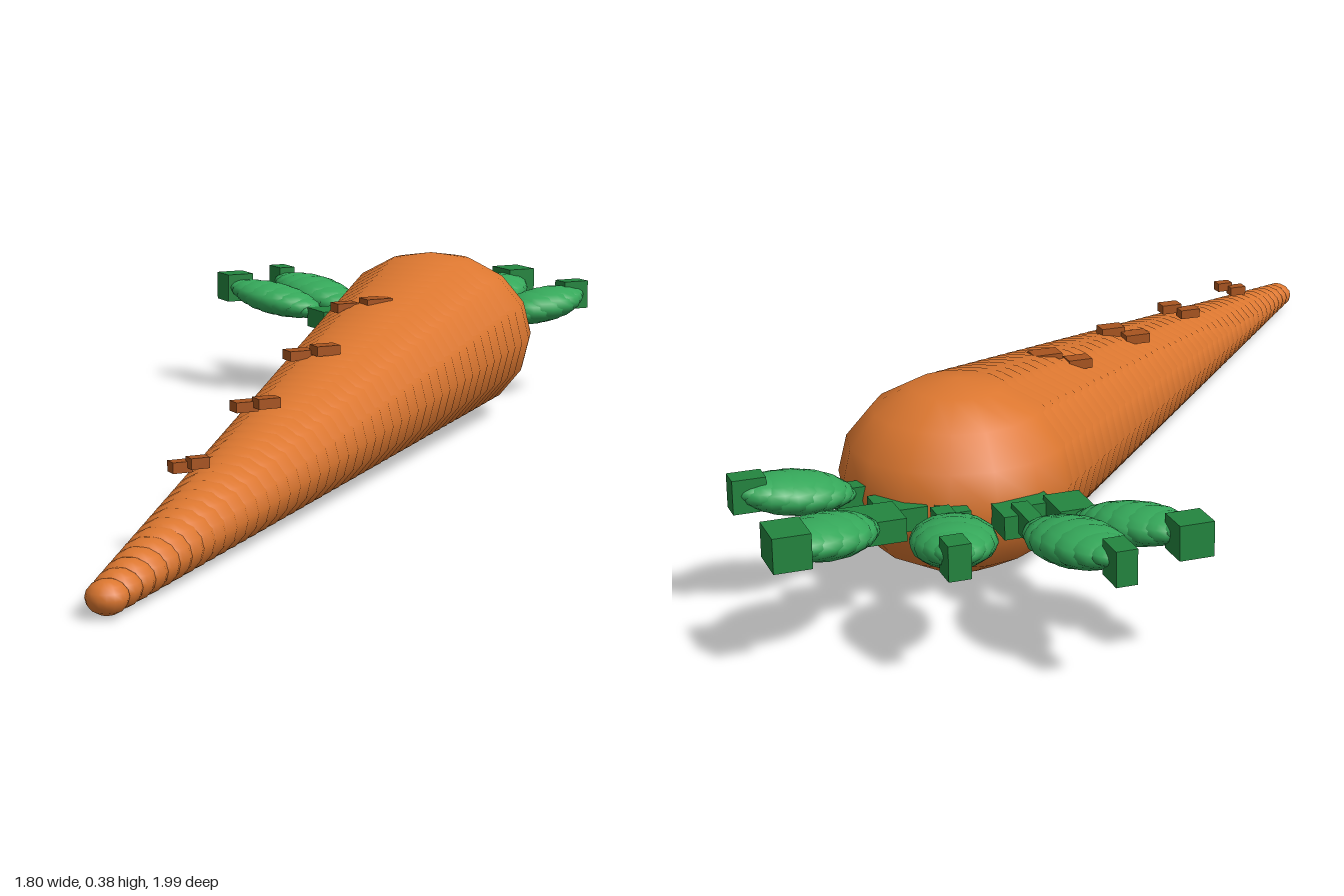
import * as THREE from 'three';

const mat = (color) => new THREE.MeshStandardMaterial({ color });
const V = (x, y, z) => new THREE.Vector3(x, y, z);

export function createModel() {
  const group = new THREE.Group();
  group.name = 'carrot';
  const orange = mat(0xdc7730), brown = mat(0xa8541f);
  const green = mat(0x35a85a), darkGreen = mat(0x23853f);
  const ball = new THREE.SphereGeometry(1, 16, 8);
  const cube = new THREE.BoxGeometry(1, 1, 1);

  const add = (parent, name, geometry, material, pos, size) => {
    const mesh = new THREE.Mesh(geometry, material);
    mesh.name = name;
    mesh.position.copy(pos);
    mesh.scale.copy(size);
    parent.add(mesh);
  };

  // Root: a row of flattened balls growing from the tip to the crown
  const root = new THREE.Group();
  root.name = 'root';
  group.add(root);
  const tip = V(-0.865, 0.039, 0.955), crown = V(0.43, 0.195, -0.325);
  const rings = 44;
  for (let i = 0; i < rings; i++) {
    const t = i / (rings - 1);
    const r = THREE.MathUtils.lerp(0.037, 0.233, t);
    add(root, 'rootRing', ball, orange, tip.clone().lerp(crown, t), V(r, r * 0.815, r));
  }

  // Skin marks: pairs of small blocks along the top [x, y, z, width]
  const marks = new THREE.Group();
  marks.name = 'skinMarks';
  group.add(marks);
  [
    [0.10, 0.308, -0.11, 0.05], [0.16, 0.318, -0.08, 0.06],
    [-0.13, 0.259, 0.14, 0.055], [-0.085, 0.27, 0.17, 0.052],
    [-0.365, 0.215, 0.39, 0.046], [-0.33, 0.223, 0.415, 0.046],
    [-0.605, 0.17, 0.645, 0.038], [-0.578, 0.178, 0.662, 0.036],
  ].forEach(([x, y, z, w]) => add(marks, 'skinMark', cube, brown, V(x, y, z), V(w, 0.02, w * 0.7)));

  // Leaves: start and end of each blade, half width, its tip block and stem blocks
  const leaves = [
    { a: [0.305, -0.66], b: [0.193, -0.895], w: 0.07, tip: [0.197, -0.903, 0.066, 0.066],
      stems: [[0.312, -0.615, 0.07, 0.09], [0.36, -0.54, 0.06, 0.09]] },
    { a: [0.40, -0.67], b: [0.355, -0.965], w: 0.077, tip: [0.355, -0.968, 0.04, 0.064],
      stems: [[0.40, -0.64, 0.032, 0.11], [0.41, -0.57, 0.065, 0.11]] },
    { a: [0.54, -0.62], b: [0.61, -0.845], w: 0.08, tip: [0.61, -0.848, 0.042, 0.05],
      stems: [[0.542, -0.595, 0.036, 0.09], [0.515, -0.53, 0.055, 0.08]] },
    { a: [0.68, -0.555], b: [0.875, -0.705], w: 0.075, tip: [0.865, -0.688, 0.07, 0.085],
      stems: [[0.668, -0.54, 0.105, 0.09], [0.6, -0.475, 0.09, 0.09]] },
    { a: [0.67, -0.39], b: [0.88, -0.418], w: 0.075, tip: [0.868, -0.418, 0.064, 0.045],
      stems: [[0.665, -0.388, 0.06, 0.036], [0.60, -0.375, 0.09, 0.05]] },
  ];
  leaves.forEach(({ a, b, w, tip: end, stems }) => {
    const leaf = new THREE.Group();
    leaf.name = 'leaf';
    group.add(leaf);
    const from = V(a[0], 0.205, a[1]), to = V(b[0], 0.256, b[1]);
    const n = 10;
    for (let i = 0; i < n; i++) {
      const t = i / (n - 1);
      const r = 0.018 + (w - 0.018) * Math.sin(Math.PI * t);
      add(leaf, 'leafBlade', ball, green, from.clone().lerp(to, t), V(r, r * 0.5, r));
    }
    add(leaf, 'leafTip', cube, darkGreen, V(end[0], 0.249, end[1]), V(end[2], 0.066, end[3]));
    stems.forEach(([x, z, sx, sz], i) =>
      add(leaf, 'leafStem', cube, darkGreen, V(x, 0.2 - i * 0.01, z), V(sx, 0.045, sz)));
  });

  return group;
}
